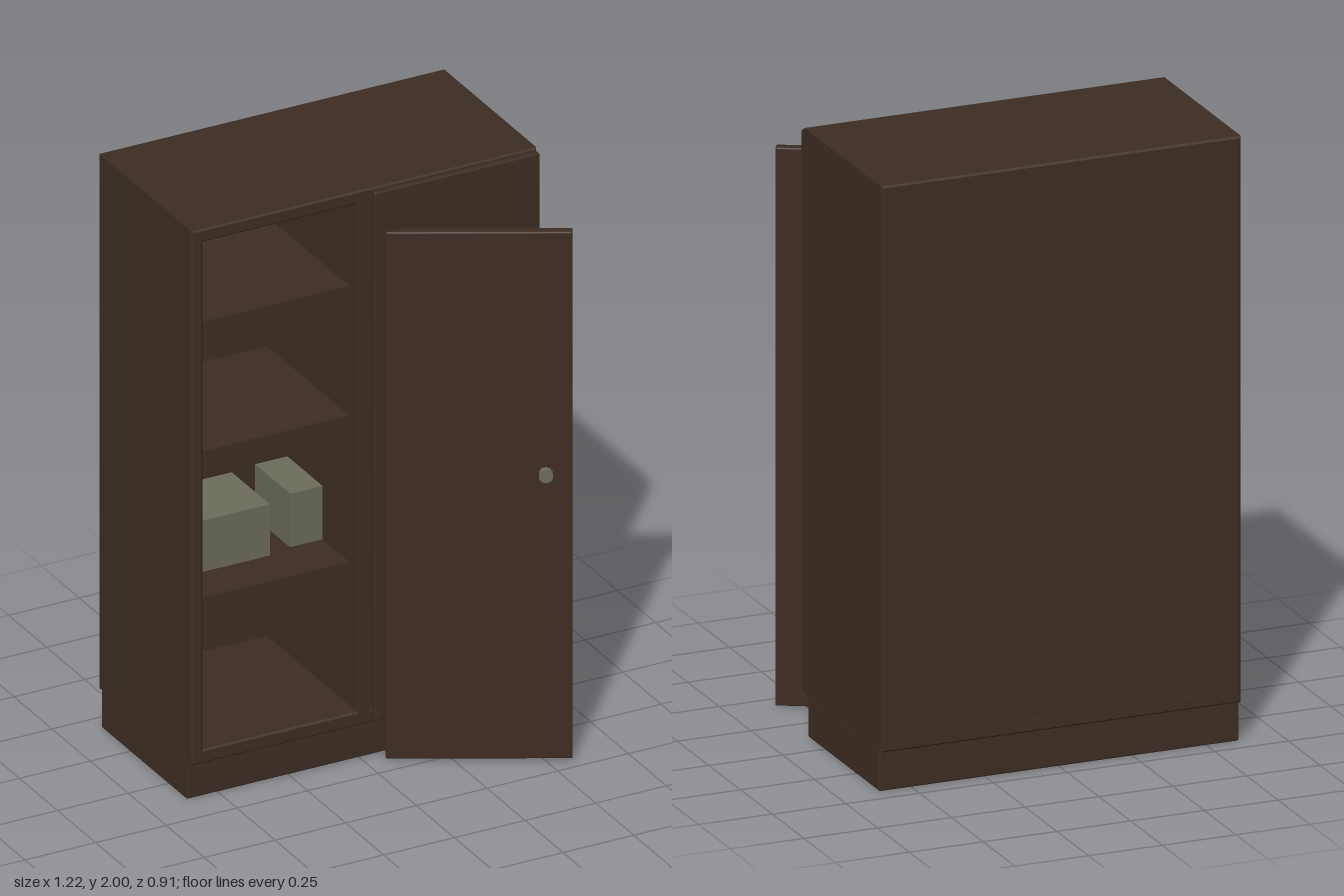
import * as THREE from 'three';
import { RoundedBoxGeometry } from 'three/addons/geometries/RoundedBoxGeometry.js';

const wood = new THREE.MeshStandardMaterial({ color: 0x3d2d23 });
wood.name = 'darkWood';
const grey = new THREE.MeshStandardMaterial({ color: 0x6b6c5a });
grey.name = 'greyGreen';

// Box given by its min and max corners, optionally with softened edges
function block(name, material, [x0, y0, z0], [x1, y1, z1], radius = 0) {
  const size = [x1 - x0, y1 - y0, z1 - z0];
  const geometry = radius
    ? new RoundedBoxGeometry(...size, 2, radius)
    : new THREE.BoxGeometry(...size);
  const mesh = new THREE.Mesh(geometry, material);
  mesh.name = name;
  mesh.position.set((x0 + x1) / 2, (y0 + y1) / 2, (z0 + z1) / 2);
  return mesh;
}

function rectangle(target, x0, y0, x1, y1) {
  target.moveTo(x0, y0);
  target.lineTo(x1, y0);
  target.lineTo(x1, y1);
  target.lineTo(x0, y1);
  target.closePath();
  return target;
}

export function createModel() {
  const model = new THREE.Group();
  model.name = 'cabinet';

  // Carcass: outer walls and middle divider around two compartments
  const outline = rectangle(new THREE.Shape(), -0.61, 0.132, 0.61, 2);
  for (const x of [-0.57, 0.025]) {
    outline.holes.push(rectangle(new THREE.Path(), x, 0.18, x + 0.545, 1.955));
  }
  const bevel = 0.006;
  const carcass = new THREE.Mesh(new THREE.ExtrudeGeometry(outline, {
    depth: 0.615 - 2 * bevel, bevelThickness: bevel, bevelSize: bevel,
    bevelOffset: -bevel, bevelSegments: 1,
  }), wood);
  carcass.name = 'carcass';
  carcass.position.z = -0.455 + bevel;
  model.add(carcass);
  model.add(block('backPanel', wood, [-0.6, 0.15, -0.4545], [0.6, 1.98, -0.435]));

  // Plinth
  model.add(block('plinth', wood, [-0.61, 0, -0.437], [0.61, 0.134, 0.125], 0.006));

  // Shelves in both compartments
  for (const x of [-0.575, 0.02]) {
    for (const y of [0.655, 1.167, 1.62]) {
      model.add(block('shelf', wood, [x, y, -0.44], [x + 0.555, y + 0.026, 0.105]));
    }
  }

  // Storage boxes on the lowest shelf
  model.add(block('storageBox', grey, [-0.505, 0.681, -0.3], [-0.222, 0.86, -0.05]));
  model.add(block('storageBox', grey, [-0.14, 0.681, -0.3], [-0.005, 0.868, -0.07]));

  // Closed door
  model.add(block('closedDoor', wood, [0.027, 0.142, 0.147], [0.61, 1.99, 0.18], 0.006));

  // Second door standing ajar, with its knob
  const door = new THREE.Group();
  door.name = 'openDoor';
  door.position.set(0.062, 0, 0.182);
  door.rotation.y = -THREE.MathUtils.degToRad(28);
  door.add(block('doorPanel', wood, [0, 0.004, -0.034], [0.583, 1.846, 0], 0.006));
  const knob = new THREE.Mesh(new THREE.CylinderGeometry(0.023, 0.023, 0.024, 10), grey);
  knob.name = 'knob';
  knob.rotation.x = Math.PI / 2;
  knob.position.set(0.5, 1.002, 0.011);
  door.add(knob);
  model.add(door);

  return model;
}
